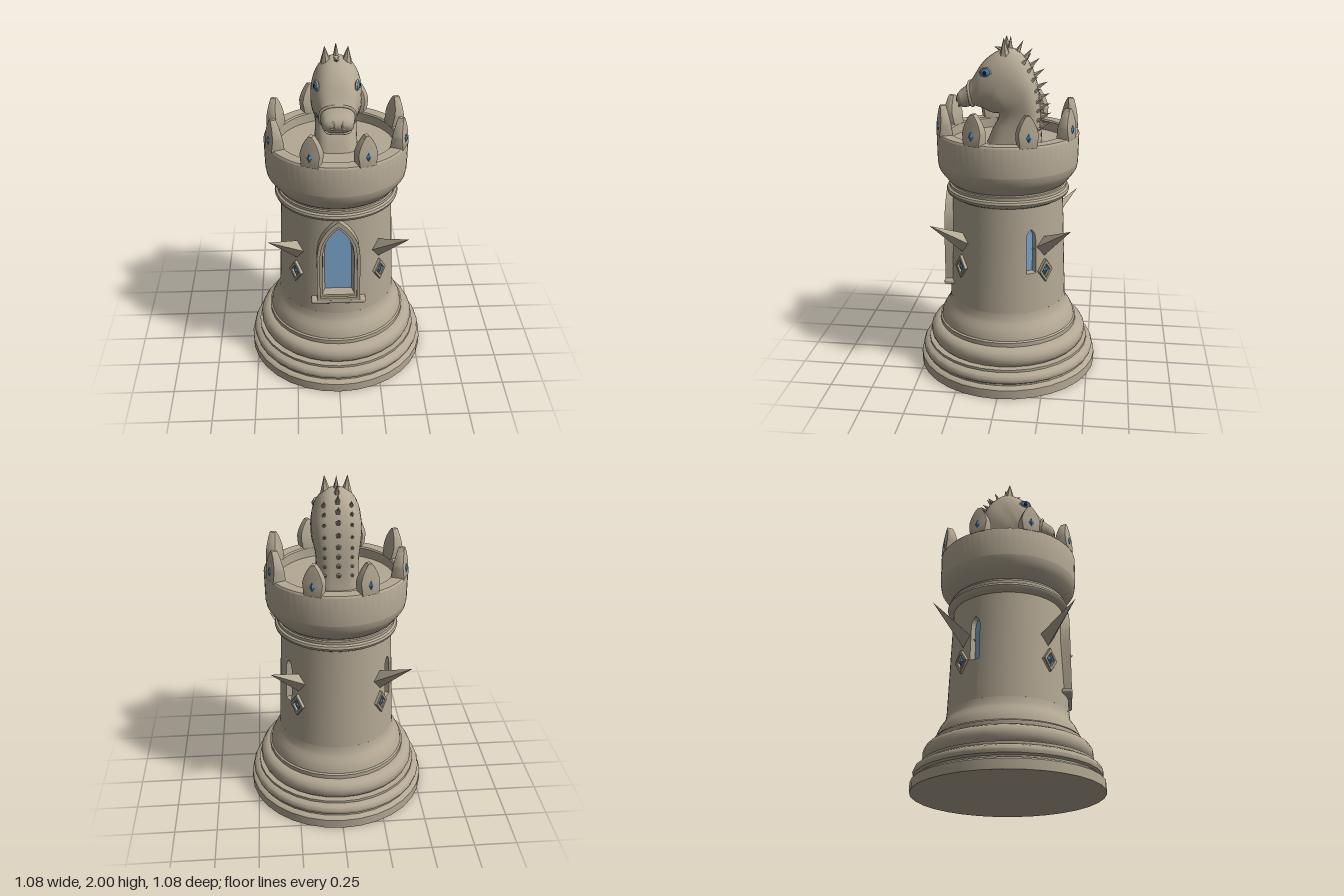
import * as THREE from 'three';
import { toCreasedNormals } from 'three/addons/utils/BufferGeometryUtils.js';
import { RoundedBoxGeometry } from 'three/addons/geometries/RoundedBoxGeometry.js';

const V = (x, y, z) => new THREE.Vector3(x, y, z);
const material = (name, color) => Object.assign(new THREE.MeshStandardMaterial({ color }), { name });

export function createModel() {
  const stone = material('stone', 0xb3a894);
  stone.side = THREE.DoubleSide;
  const glass = material('glass', 0x7eaad2);
  glass.side = THREE.DoubleSide;
  const gemBlue = material('gem blue', 0x4a88bc);
  const dark = material('pupil black', 0x16191d);

  const model = new THREE.Group();
  model.name = 'castleChessPiece';
  const add = (name, geo, mat = stone, parent = model) => {
    const mesh = new THREE.Mesh(geo, mat);
    mesh.name = name;
    parent.add(mesh);
    return mesh;
  };
  const turned = (name, angle) => {
    const g = new THREE.Group();
    g.name = name;
    g.rotation.y = angle;
    model.add(g);
    return g;
  };
  const lathe = (name, pts, seg) => add(name, toCreasedNormals(
    new THREE.LatheGeometry(pts.map(p => new THREE.Vector2(...p)), seg), 0.65));
  const spike = (name, base, tip, radius, sides, parent = model) => {
    const dir = tip.clone().sub(base), len = dir.length();
    const geo = new THREE.ConeGeometry(radius, len, sides).translate(0, len / 2, 0);
    const m = add(name, toCreasedNormals(geo, 0.5), stone, parent);
    m.quaternion.setFromUnitVectors(V(0, 1, 0), dir.normalize());
    m.position.copy(base);
    return m;
  };

  // Stepped base, flared foot, collar and crown
  lathe('base', [[0, 0], [0.54, 0], [0.54, 0.055], [0.53, 0.065], [0.51, 0.07], [0.51, 0.08], [0.523, 0.09],
    [0.528, 0.11], [0.52, 0.13], [0.5, 0.142], [0.49, 0.145], [0.49, 0.16], [0.455, 0.162], [0.467, 0.175], [0.477, 0.2],
    [0.475, 0.23], [0.46, 0.255], [0.435, 0.268], [0.418, 0.27], [0.418, 0.295], [0.408, 0.3]], 32);
  lathe('foot', [[0.418, 0.297], [0.408, 0.302], [0.402, 0.33], [0.385, 0.365], [0.366, 0.392], [0.355, 0.415],
    [0.35, 0.45]], 64);
  lathe('collar', [[0.326, 1.085], [0.345, 1.095], [0.357, 1.103], [0.362, 1.117], [0.357, 1.131], [0.345, 1.138],
    [0.345, 1.155], [0.336, 1.158], [0.336, 1.168], [0.352, 1.18], [0.385, 1.222], [0.403, 1.25], [0.41, 1.285]], 64);
  lathe('crown', [[0.41, 1.285], [0.413, 1.452], [0.405, 1.463], [0.342, 1.463], [0.335, 1.455], [0.335, 1.4],
    [0, 1.4]], 64);

  // Pointed arch: height of the opening at sideways offset u
  const archTop = (w, u) => {
    const rise = w.apex - w.spring, rad = (rise * rise + w.half * w.half) / (2 * w.half);
    return w.spring + Math.sqrt(Math.max(0, rad * rad - (Math.abs(u) + rad - w.half) ** 2));
  };
  const archPath = (w, Type) => {
    const p = new Type();
    p.moveTo(-w.half, w.y0);
    p.lineTo(w.half, w.y0);
    for (let i = 0; i <= 24; i++) {
      const u = w.half * (1 - i / 12);
      p.lineTo(u, archTop(w, u));
    }
    p.closePath();
    return p;
  };
  const windows = [
    { angle: 0, half: 0.091, y0: 0.59, spring: 0.86, apex: 1.045, pane: 0.285 },
    { angle: Math.PI * 2 / 3, half: 0.03, y0: 0.69, spring: 0.9, apex: 0.955, pane: 0.295 },
    { angle: Math.PI * 4 / 3, half: 0.03, y0: 0.69, spring: 0.9, apex: 0.955, pane: 0.295 },
  ];

  // Tapered shaft wall with window openings and their reveals
  const pos = [], yLow = 0.45, yHigh = 1.092;
  const wallPoint = (a, y, inset = 0) => {
    const r = 0.35 - 0.024 * (y - yLow) / (yHigh - yLow) - inset;
    return [r * Math.sin(a), y, r * Math.cos(a)];
  };
  const quad = (a, b, c, d) => pos.push(...a, ...b, ...c, ...a, ...c, ...d);
  const strip = (a, b, ya, yb, za, zb) =>
    quad(wallPoint(a, ya), wallPoint(b, yb), wallPoint(b, zb), wallPoint(a, za));
  const R = 0.338, inset = 0.08;
  windows.forEach((w, i) => {
    const span = w.half / R;
    for (let k = 0; k < 16; k++) {
      const u0 = w.half * (k / 8 - 1), u1 = w.half * ((k + 1) / 8 - 1);
      const a = w.angle + u0 / R, b = w.angle + u1 / R, ta = archTop(w, u0), tb = archTop(w, u1);
      strip(a, b, yLow, yLow, w.y0, w.y0);
      strip(a, b, ta, tb, yHigh, yHigh);
      quad(wallPoint(a, w.y0), wallPoint(b, w.y0), wallPoint(b, w.y0, inset), wallPoint(a, w.y0, inset));
      quad(wallPoint(a, ta, inset), wallPoint(b, tb, inset), wallPoint(b, tb), wallPoint(a, ta));
    }
    for (const s of [-1, 1]) {
      const a = w.angle + s * span, q = [wallPoint(a, w.y0), wallPoint(a, w.y0, inset),
        wallPoint(a, w.spring, inset), wallPoint(a, w.spring)];
      quad(...(s < 0 ? q : q.reverse()));
    }
    const next = windows[(i + 1) % 3], from = w.angle + span;
    const to = next.angle + (i === 2 ? Math.PI * 2 : 0) - next.half / R;
    for (let k = 0; k < 20; k++) {
      strip(from + (to - from) * k / 20, from + (to - from) * (k + 1) / 20, yLow, yLow, yHigh, yHigh);
    }
    const pane = add('windowPane', new THREE.ShapeGeometry(archPath(w, THREE.Shape)), glass,
      turned('window', w.angle));
    pane.position.z = w.pane;
  });
  const wall = new THREE.BufferGeometry();
  wall.setAttribute('position', new THREE.Float32BufferAttribute(pos, 3));
  add('shaft', toCreasedNormals(wall, 0.6));

  // Stepped frame and sill of the front window
  const frame = (outer, inner, front) => {
    const s = archPath(outer, THREE.Shape);
    s.holes.push(archPath(inner, THREE.Path));
    const geo = new THREE.ExtrudeGeometry(s, { depth: front - 0.3, bevelEnabled: false });
    add('windowFrame', toCreasedNormals(geo, 0.5)).position.z = 0.3;
  };
  const middle = { half: 0.107, y0: 0.575, spring: 0.86, apex: 1.067 };
  frame({ half: 0.125, y0: 0.555, spring: 0.86, apex: 1.1 }, middle, 0.366);
  frame(middle, windows[0], 0.352);
  add('windowSill', new RoundedBoxGeometry(0.32, 0.026, 0.06, 3, 0.01)).position.set(0, 0.547, 0.338);

  // Diamond plaques with gems, and wall spikes on the diagonals
  const diamond = (Type, w, h) => new Type([[-w, 0], [0, -h], [w, 0], [0, h]].map(p => new THREE.Vector2(...p)));
  const gem = (w, h, d) => new THREE.OctahedronGeometry(1).scale(w, h, d);
  for (let i = 0; i < 4; i++) {
    const g = turned('diagonalOrnament', Math.PI * (0.25 + i / 2));
    const s = diamond(THREE.Shape, 0.046, 0.066);
    s.holes.push(diamond(THREE.Path, 0.031, 0.046));
    add('plaque', new THREE.ExtrudeGeometry(s, { depth: 0.026, bevelEnabled: true, bevelSize: 0.003,
      bevelThickness: 0.003, bevelSegments: 1 }), stone, g).position.set(0, 0.695, 0.33);
    add('plaqueGem', gem(0.022, 0.035, 0.016), gemBlue, g).position.set(0, 0.695, 0.345);
    spike('wallSpike', V(0, 0.822, 0.295), V(0, 0.995, 0.56), 0.058, 4, g);
  }

  // Eight pointed battlements, thinner toward the tip
  const leaf = new THREE.Shape();
  leaf.moveTo(-0.045, 0);
  leaf.lineTo(0.045, 0);
  leaf.lineTo(0.053, 0.065);
  leaf.quadraticCurveTo(0.045, 0.12, 0.008, 0.166);
  leaf.lineTo(-0.008, 0.166);
  leaf.quadraticCurveTo(-0.045, 0.12, -0.053, 0.065);
  leaf.closePath();
  const leafGeo = new THREE.ExtrudeGeometry(leaf, { depth: 0.068, bevelEnabled: true, bevelSize: 0.005,
    bevelThickness: 0.006, bevelSegments: 2, curveSegments: 8 });
  const lp = leafGeo.attributes.position;
  for (let i = 0; i < lp.count; i++) {
    const k = lp.getY(i) / 0.166;
    lp.setZ(i, 0.408 - 0.012 * k + (lp.getZ(i) - 0.068) * (1 - 0.55 * k));
  }
  const battlement = toCreasedNormals(leafGeo, 0.6);
  for (let i = 0; i < 8; i++) {
    const g = turned('battlement', Math.PI * (0.125 + i / 4));
    add('battlementStone', battlement, stone, g).position.y = 1.458;
    add('battlementGem', gem(0.014, 0.027, 0.01), gemBlue, g).position.set(0, 1.51, 0.411);
  }

  // Horse head sections: back z,y / front z,y / half width / squareness / taper to the back
  const sections = [
    [-0.2, 1.38, 0.125, 1.38, 0.125, 0.6, 0], [-0.192, 1.47, 0.088, 1.47, 0.12, 0.6, 0],
    [-0.187, 1.57, 0.05, 1.545, 0.12, 0.62, 0], [-0.178, 1.67, 0.052, 1.572, 0.13, 0.65, 0],
    [-0.15, 1.79, 0.075, 1.568, 0.141, 0.72, 0], [-0.1, 1.88, 0.1, 1.572, 0.141, 0.8, 0.08],
    [-0.02, 1.935, 0.12, 1.58, 0.137, 0.85, 0.13], [0.055, 1.918, 0.14, 1.59, 0.13, 0.85, 0.13],
    [0.14, 1.855, 0.165, 1.598, 0.117, 0.85, 0.12], [0.21, 1.75, 0.19, 1.605, 0.096, 0.8, 0.05],
    [0.25, 1.708, 0.215, 1.6, 0.09, 0.8, 0], [0.279, 1.685, 0.25, 1.594, 0.084, 0.8, 0],
    [0.293, 1.66, 0.276, 1.608, 0.06, 0.85, 0], [0.292, 1.637, 0.291, 1.634, 0.002, 1, 0]];
  const curve = f => new THREE.CatmullRomCurve3(sections.map(f));
  const back = curve(s => V(0, s[1], s[0])), front = curve(s => V(0, s[3], s[2]));
  const form = curve(s => V(s[4], s[5], s[6]));
  const N = 32, last = sections.length - 1;
  const sgnPow = (v, e) => Math.sign(v) * Math.abs(v) ** e;
  const section = (index, grow = 1) => {
    const u = index / last, b = back.getPoint(u), f = front.getPoint(u), s = form.getPoint(u);
    const mid = b.clone().add(f).multiplyScalar(0.5), half = b.sub(f).multiplyScalar(0.5 * grow);
    return Array.from({ length: N }, (_, j) => {
      const t = j / N * Math.PI * 2, c = Math.cos(t);
      const p = mid.clone().addScaledVector(half, sgnPow(c, s.y));
      p.x = grow * s.x * sgnPow(Math.sin(t), s.y) * (1 - s.z * c);
      return p;
    });
  };
  const pts = [], idx = [], rows = last * 4;
  for (let i = 0; i <= rows; i++) {
    pts.push(...section(i / 4));
    for (let j = 0; i < rows && j < N; j++) {
      const a = i * N + j, b = i * N + (j + 1) % N;
      idx.push(a, a + N, b + N, a, b + N, b);
    }
  }
  const head = new THREE.BufferGeometry().setFromPoints(pts);
  head.setIndex(idx);
  head.computeVertexNormals();
  add('horseHead', head);

  // Noseband, mouth line and nostrils
  const tube = (name, points, r, closed) => add(name,
    new THREE.TubeGeometry(new THREE.CatmullRomCurve3(points, closed), 64, r, 8, closed));
  tube('noseband', section(9.3, 1.03), 0.008, true);
  tube('lip', [V(-0.078, 1.63, 0.25), V(-0.06, 1.607, 0.272), V(0, 1.602, 0.282), V(0.06, 1.607, 0.272),
    V(0.078, 1.63, 0.25)], 0.006, false);
  for (const s of [-1, 1]) {
    const nostril = add('nostril', new THREE.TorusGeometry(0.015, 0.005, 8, 20));
    nostril.scale.set(0.8, 1.3, 1);
    nostril.position.set(s * 0.031, 1.652, 0.287);
    nostril.rotation.set(-0.2, s * 0.35, 0);

    // Eye with lid, iris and pupil
    const eye = new THREE.Group();
    eye.name = 'eye';
    eye.position.copy(section(7.5)[s > 0 ? 6 : N - 6]);
    eye.rotation.y = s * 1.3;
    model.add(eye);
    add('eyelid', new THREE.TorusGeometry(0.031, 0.006, 8, 24), stone, eye).scale.y = 0.85;
    add('iris', new THREE.SphereGeometry(1, 20, 14).scale(0.029, 0.025, 0.016), gemBlue, eye);
    add('pupil', new THREE.SphereGeometry(1, 14, 10).scale(0.012, 0.013, 0.005), dark, eye).position.z = 0.0135;

    spike('ear', V(s * 0.055, 1.885, 0.01), V(s * 0.064, 1.997, 0.016), 0.037, 7);
  }

  // Mane spikes: a long middle row, two short side rows and a forelock
  const maneRow = (x, count, from, to, length, radius) => {
    for (let k = 0; k < count; k++) {
      const u = (from + (to - from) * k / (count - 1)) / last;
      const p = back.getPoint(u), t = back.getTangent(u);
      const out = V(0, t.z + 0.35, -t.y).normalize();
      p.x = x;
      p.addScaledVector(out, -0.02);
      spike('maneSpike', p, p.clone().addScaledVector(out, length + 0.02), radius, 5);
    }
  };
  maneRow(0, 10, 1.2, 6.1, 0.066, 0.02);
  for (const x of [-0.075, 0.075]) maneRow(x, 8, 1.2, 4.9, 0.028, 0.013);
  spike('forelock', V(0, 1.915, 0.01), V(0, 1.94, 0.08), 0.025, 5);

  return model;
}
